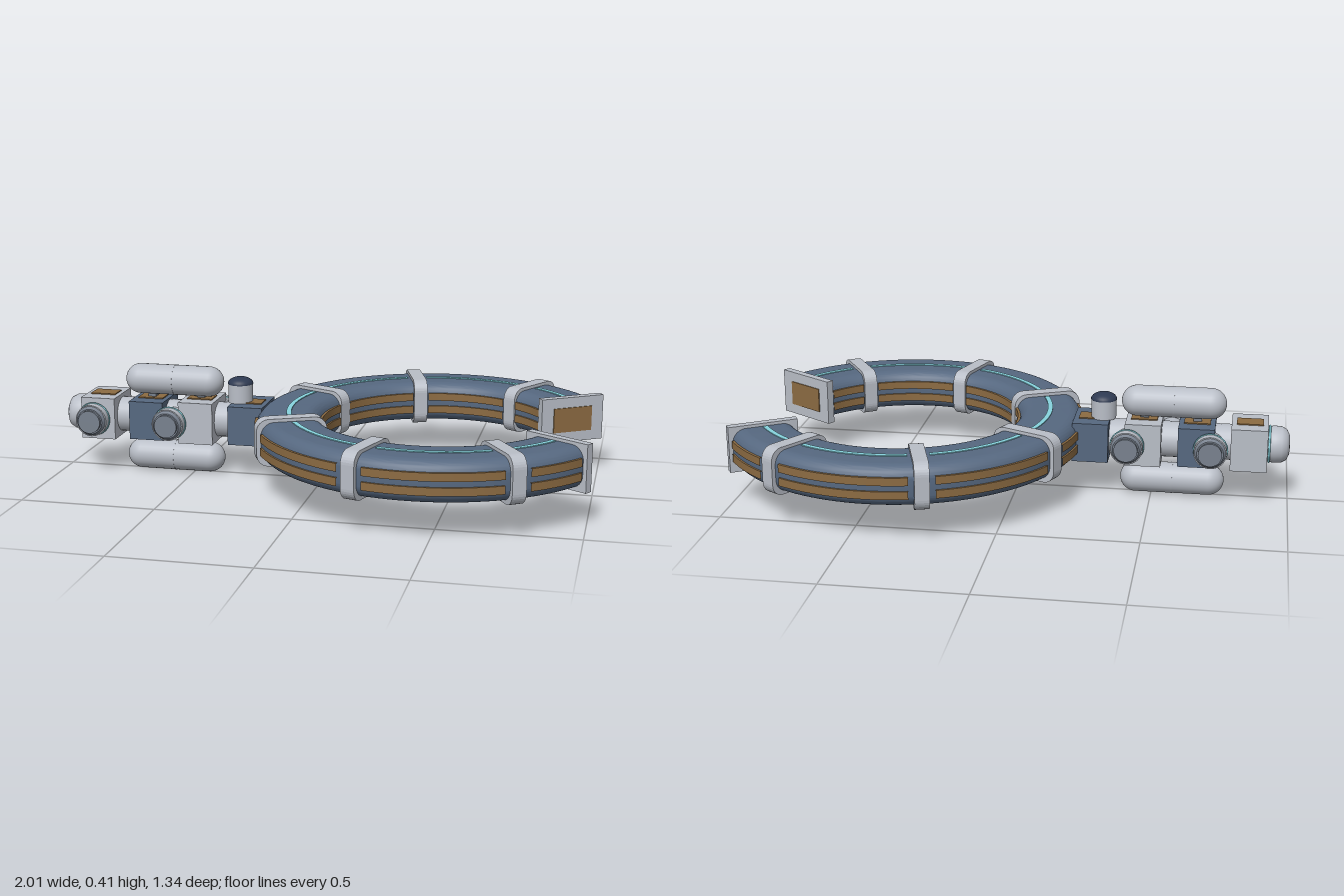
import * as THREE from 'three';
import { toCreasedNormals } from 'three/addons/utils/BufferGeometryUtils.js';

const mat = (color) => new THREE.MeshStandardMaterial({ color });
const RAD = Math.PI / 180;
const CX = 0.43, CY = 0.208, GAP = 33; // ring centre, mid height, half opening angle
const BANDS = [58, 107.5, 155];

// Rounded rectangle centred on (x, y), drawn counter-clockwise
function roundedRect(x, y, w, h, r) {
  const s = new THREE.Shape();
  const a = w / 2 - r, b = h / 2 - r;
  s.absarc(x + a, y + b, r, 0, Math.PI / 2);
  s.absarc(x - a, y + b, r, Math.PI / 2, Math.PI);
  s.absarc(x - a, y - b, r, Math.PI, Math.PI * 1.5);
  s.absarc(x + a, y - b, r, Math.PI * 1.5, Math.PI * 2);
  s.closePath();
  return s;
}

// Sweep a section round the ring; angles run from +x towards +z
function sweep(points, from, to) {
  const steps = Math.max(4, Math.ceil((to - from) / 3));
  const geo = new THREE.LatheGeometry(points, steps, (90 - to) * RAD, (to - from) * RAD);
  return toCreasedNormals(geo, 40 * RAD);
}

function boxSection(r, y, w, h) {
  return [[-1, -1], [1, -1], [1, 1], [-1, 1], [-1, -1]]
    .map(([i, j]) => new THREE.Vector2(r + i * w / 2, y + j * h / 2));
}

export function createModel() {
  const model = new THREE.Group();
  const hull = mat(0x566880), light = mat(0xb9bec7), copper = mat(0x8c6b42);
  const cyan = mat(0x86d3de), dark = mat(0x2e3a52), steel = mat(0x78818e);

  const add = (parent, name, geo, material, x = 0, y = 0, z = 0) => {
    const mesh = new THREE.Mesh(geo, material);
    mesh.name = name;
    mesh.position.set(x, y, z);
    parent.add(mesh);
    return mesh;
  };
  const box = (w, h, d) => new THREE.BoxGeometry(w, h, d);

  // Open ring
  const ring = new THREE.Group();
  ring.name = 'ring';
  ring.position.set(CX, CY, 0);
  model.add(ring);
  const section = roundedRect(0.547, 0, 0.234, 0.15, 0.05).getPoints(8);
  add(ring, 'ringHull', sweep(section, GAP, 360 - GAP), hull);

  // Trim strips and light line, broken at each band
  const stops = [GAP - 2, ...BANDS, ...BANDS.map((a) => 360 - a).reverse(), 362 - GAP];
  for (let i = 0; i < stops.length - 1; i++) {
    const from = stops[i] + 4, to = stops[i + 1] - 4;
    for (const r of [0.43, 0.664])
      for (const y of [-0.025, 0.025])
        add(ring, 'trimStrip', sweep(boxSection(r, y, 0.014, 0.029), from, to), copper);
    add(ring, 'lightLine', sweep(boxSection(0.545, 0.074, 0.018, 0.008), from, to), cyan);
  }

  // Bands and end plates, mirrored front to back
  const bandGeo = new THREE.ExtrudeGeometry(roundedRect(0.55, 0, 0.258, 0.174, 0.045), {
    depth: 0.052, bevelEnabled: false, curveSegments: 4,
  });
  bandGeo.translate(0, 0, -0.026);
  for (const side of [1, -1]) {
    for (const a of BANDS) add(ring, 'band', bandGeo, light).rotation.y = -side * a * RAD;
    const end = new THREE.Group();
    end.name = 'ringEnd';
    end.rotation.y = -side * (GAP - 0.5) * RAD;
    ring.add(end);
    add(end, 'endPlate', box(0.258, 0.172, 0.03), light, 0.55);
    add(end, 'endPanel', box(0.16, 0.094, 0.008), copper, 0.55, 0, -side * 0.015);
  }

  // Row of modules with couplings
  const couplingGeo = new THREE.CylinderGeometry(0.066, 0.066, 0.08, 24).rotateZ(Math.PI / 2);
  [-0.853, -0.663, -0.47, -0.278].forEach((x, i) => {
    const h = i % 2 ? 0.146 : 0.158;
    add(model, 'module', box(0.132, h, 0.19), i % 2 ? hull : light, x, CY);
    add(model, 'roofPanel', box(0.096, 0.008, 0.07), copper, x, CY + h / 2);
    if (i < 3) add(model, 'coupling', couplingGeo, light, x + 0.095, CY);
  });

  // Rounded tail
  const tailProfile = [[0.064, 0], [0.068, 0.03], [0.066, 0.055], [0.056, 0.073], [0.035, 0.083], [0, 0.086]]
    .map(([r, y]) => new THREE.Vector2(r, y));
  add(model, 'tail', new THREE.LatheGeometry(tailProfile, 32).rotateZ(Math.PI / 2), light, -0.914, CY);
  add(model, 'tailLight', new THREE.TorusGeometry(0.066, 0.004, 8, 40).rotateY(Math.PI / 2), cyan, -0.925, CY);

  // Docking ports, alternating sides
  const ports = [[-0.866, 1], [-0.716, -1], [-0.566, 1], [-0.414, -1]];
  for (const [x, side] of ports) {
    const port = new THREE.Group();
    port.name = 'dockingPort';
    port.position.set(x, CY, 0);
    if (side < 0) port.rotation.y = Math.PI;
    model.add(port);
    const disc = (name, r1, r2, z0, z1, m) =>
      add(port, name, new THREE.CylinderGeometry(r2, r1, z1 - z0, 32).rotateX(Math.PI / 2), m, 0, 0, (z0 + z1) / 2);
    disc('portNeck', 0.05, 0.05, 0.05, 0.105, light);
    disc('portCollar', 0.06, 0.06, 0.1, 0.138, light);
    disc('portRim', 0.056, 0.048, 0.138, 0.15, steel);
    disc('portHatch', 0.043, 0.043, 0.15, 0.161, steel);
    add(port, 'portLight', new THREE.TorusGeometry(0.06, 0.0035, 8, 40), cyan, 0, 0, 0.104);
  }

  // Long tanks above and below, with a seam and struts
  const tankGeo = new THREE.CapsuleGeometry(0.057, 0.268, 10, 28).rotateZ(Math.PI / 2);
  const seamGeo = new THREE.CylinderGeometry(0.0578, 0.0578, 0.006, 28).rotateZ(Math.PI / 2);
  for (const y of [0.057, 0.351]) {
    add(model, 'tank', tankGeo, light, -0.575, y);
    add(model, 'tankSeam', seamGeo, light, -0.575, y);
    for (const x of [-0.663, -0.47])
      add(model, 'tankStrut', box(0.03, 0.06, 0.03), steel, x, CY + Math.sign(y - CY) * 0.085);
  }

  // Lookout dome
  add(model, 'domeBase', new THREE.CylinderGeometry(0.046, 0.046, 0.07, 28), light, -0.318, 0.315);
  const dome = new THREE.SphereGeometry(0.048, 28, 10, 0, Math.PI * 2, 0, Math.PI / 2);
  add(model, 'dome', dome, dark, -0.318, 0.35).scale.y = 0.55;

  return model;
}
